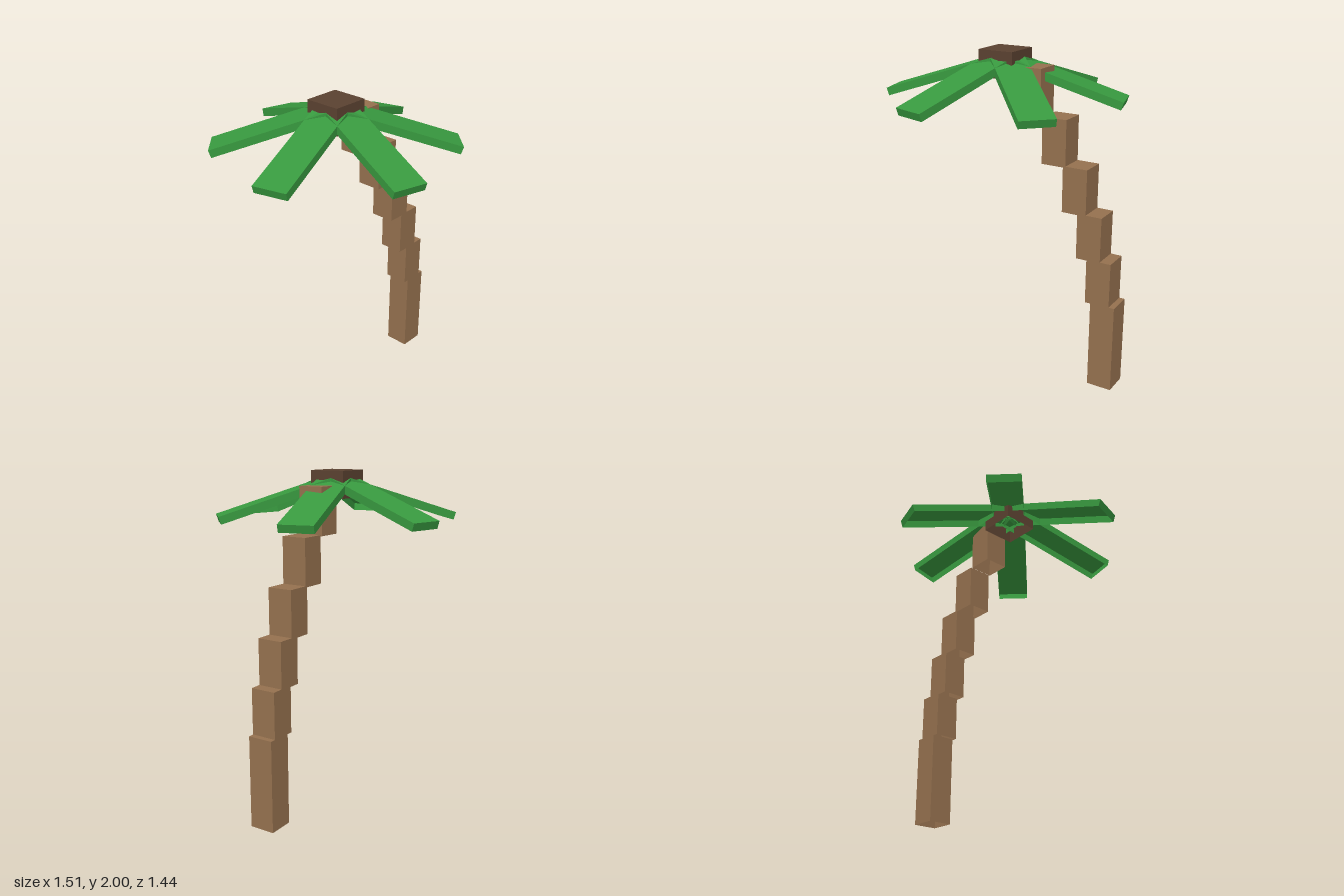
import * as THREE from 'three';

const material = (name, color) => {
  const m = new THREE.MeshStandardMaterial({ color, side: THREE.DoubleSide });
  m.name = name;
  return m;
};

// Box shell that is open underneath
function openBox(w, h, d) {
  const g = new THREE.BoxGeometry(w, h, d);
  const index = Array.from(g.index.array);
  index.splice(18, 6); // drop the bottom face
  g.setIndex(index);
  g.clearGroups();
  return g;
}

export function createModel() {
  const bark = material('bark brown', 0x94704e);
  const darkBark = material('dark brown', 0x5a4130);
  const leaf = material('leaf green', 0x38993f);
  const model = new THREE.Group();
  model.name = 'palmTree';

  const add = (parent, name, geometry, mat, x, y, z) => {
    const mesh = new THREE.Mesh(geometry, mat);
    mesh.name = name;
    mesh.position.set(x, y, z);
    parent.add(mesh);
    return mesh;
  };

  // Trunk: stacked blocks stepping inward; [centre x, bottom y, top y]
  const trunk = new THREE.Group();
  trunk.name = 'trunk';
  model.add(trunk);
  const blocks = [
    [0.677, 0, 0.555], [0.642, 0.55, 0.83], [0.573, 0.822, 1.102],
    [0.472, 1.094, 1.374], [0.333, 1.366, 1.646], [0.166, 1.638, 1.917],
  ];
  blocks.forEach(([x, y0, y1], i) =>
    add(trunk, `trunkBlock${i + 1}`, openBox(0.155, y1 - y0, 0.155), bark, x, (y0 + y1) / 2, 0));

  // Crown block on top
  const cx = -0.039;
  add(model, 'crown', openBox(0.225, 0.16, 0.225), darkBark, cx, 1.92, 0);

  // Six drooping fronds around the crown
  const slope = Math.atan(0.32), reach = 0.718, thick = 0.047;
  const length = reach / Math.cos(slope);
  const frondShape = openBox(length, thick, 0.205);
  frondShape.translate(length / 2, -thick / 2, 0);
  frondShape.rotateZ(-slope);
  for (let i = 0; i < 6; i++) {
    const frond = add(model, `frond${i + 1}`, frondShape, leaf, cx, 1.975, 0);
    frond.rotation.y = THREE.MathUtils.degToRad(15 + 60 * i);
  }
  return model;
}
